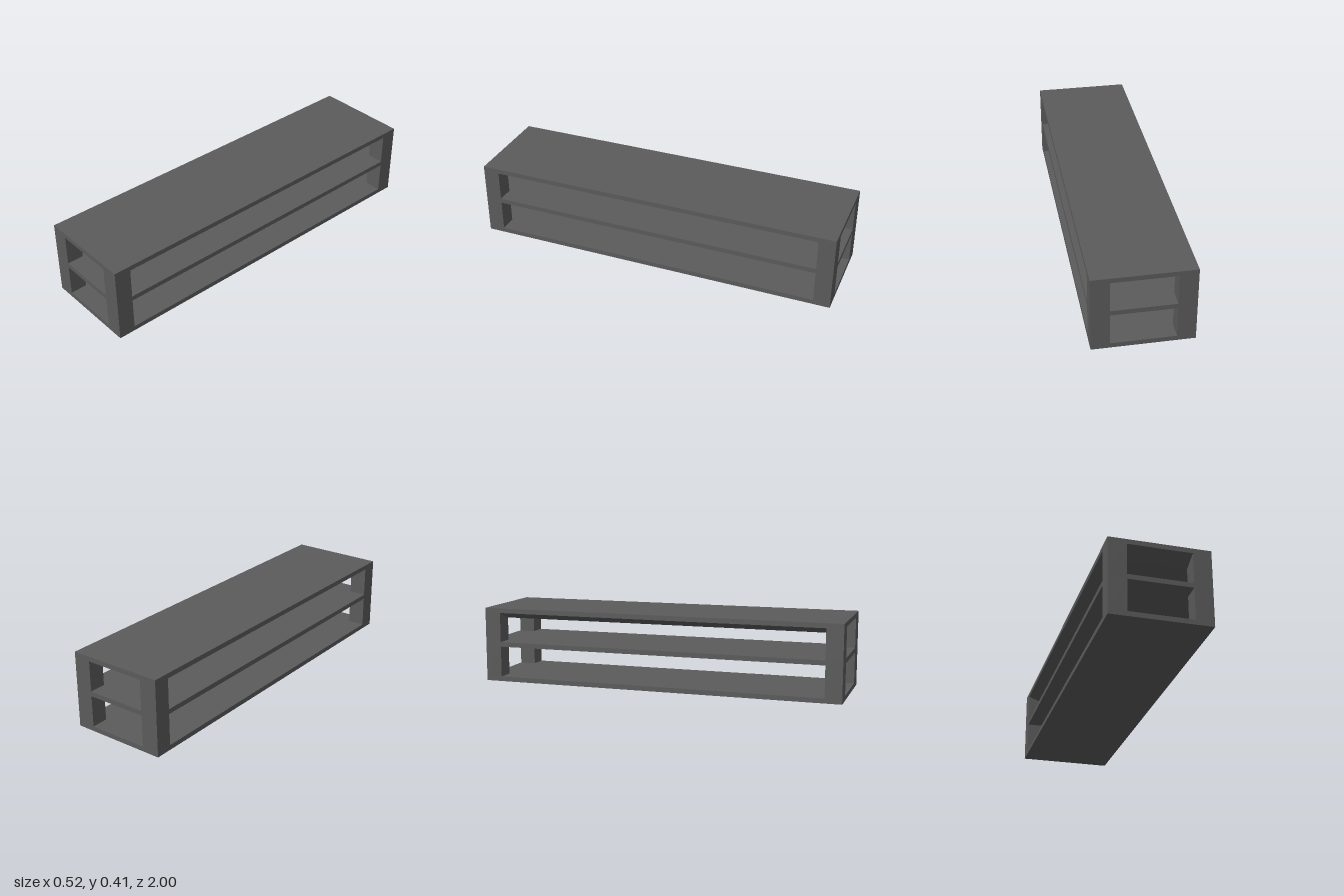
import * as THREE from 'three';

const W = 0.52, L = 2, H = 0.412; // overall width, length, height
const POST_X = 0.095, POST_Z = 0.09; // corner post section
const BOARD = 0.026;

export function createModel() {
  const group = new THREE.Group();
  const darkGrey = new THREE.MeshStandardMaterial({ color: 0x5b5b5b });

  function add(name, geometry, x, y, z) {
    const mesh = new THREE.Mesh(geometry, darkGrey);
    mesh.name = name;
    mesh.position.set(x, y, z);
    group.add(mesh);
  }

  // Horizontal boards
  const board = new THREE.BoxGeometry(W, BOARD, L);
  add('bottomBoard', board, 0, BOARD / 2, 0);
  add('middleShelf', board, 0, 0.209, 0);
  add('topBoard', board, 0, H - BOARD / 2, 0);

  // Ceiling block whose sides taper inward below the top board
  const drop = 0.037;
  const ceiling = new THREE.BoxGeometry(W, drop, L).toNonIndexed();
  const p = ceiling.attributes.position;
  for (let i = 0; i < p.count; i++) {
    if (p.getY(i) < 0) {
      p.setX(i, Math.sign(p.getX(i)) * (W / 2 - POST_X));
      p.setZ(i, Math.sign(p.getZ(i)) * (L / 2 - POST_Z));
    }
  }
  ceiling.computeVertexNormals();
  add('taperedCeiling', ceiling, 0, H - BOARD - drop / 2, 0);

  // Corner posts, one run per tier between the boards
  const tiers = [[BOARD, 0.196], [0.222, H - BOARD]];
  for (const [bottom, top] of tiers) {
    const post = new THREE.BoxGeometry(POST_X, top - bottom, POST_Z);
    for (const sx of [-1, 1]) for (const sz of [-1, 1]) {
      add('cornerPost', post, sx * (W - POST_X) / 2, (bottom + top) / 2, sz * (L - POST_Z) / 2);
    }
  }
  return group;
}
